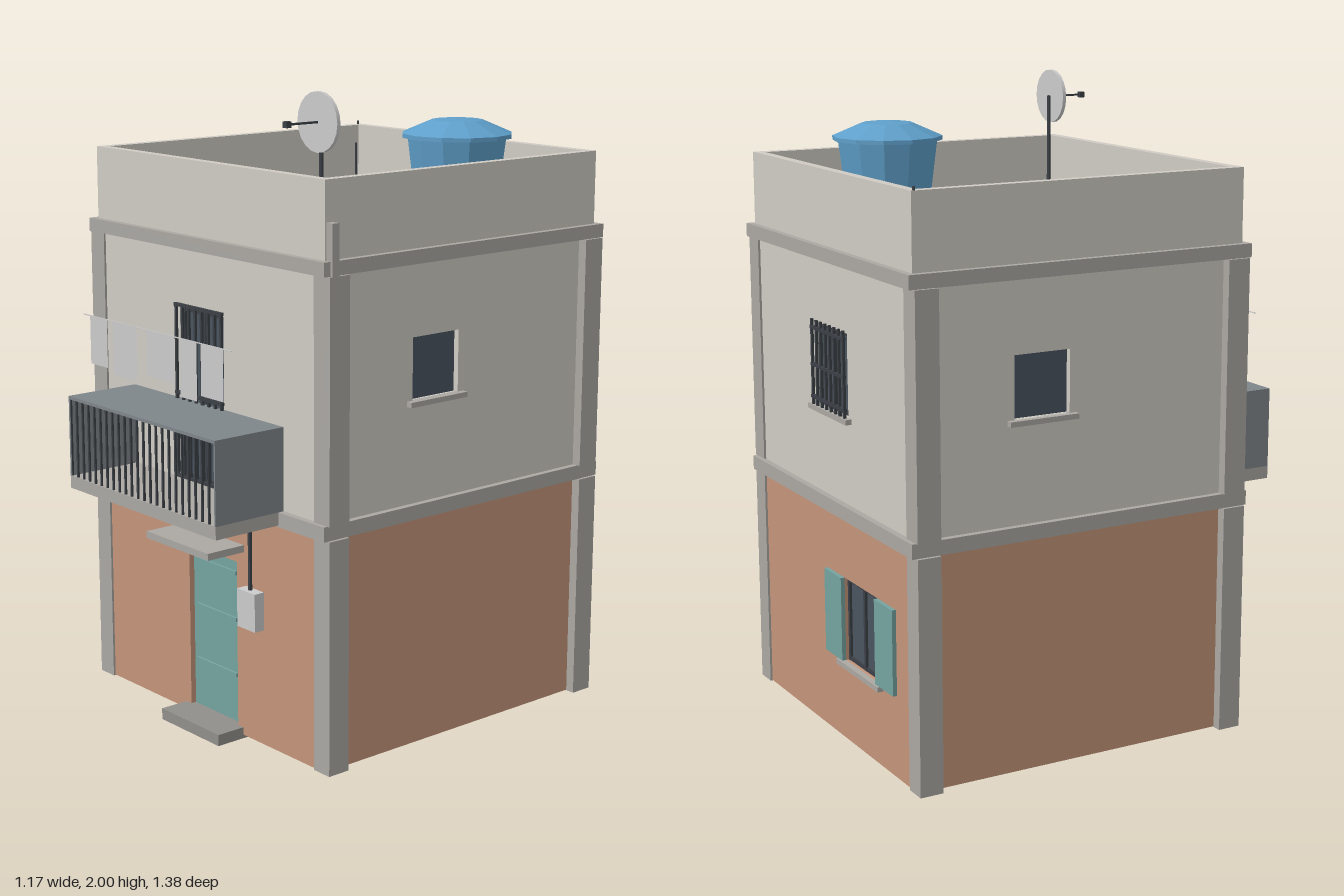
import * as THREE from 'three';

const mat = (color, flat = false) => {
  const m = new THREE.MeshStandardMaterial({ color, side: THREE.DoubleSide });
  m.flatShading = flat;
  return m;
};
const plaster = mat(0xd0ccc4), brick = mat(0xc4957a), concrete = mat(0xaba8a3), slabGrey = mat(0x918f8b);
const teal = mat(0x74a3a0), glass = mat(0x4a535f), iron = mat(0x3c4147), panel = mat(0x7f868a);
const grey = mat(0xcccccc), blue = mat(0x5f9fca, true);

function add(parent, name, geo, material, x = 0, y = 0, z = 0) {
  const m = new THREE.Mesh(geo, material);
  m.name = name;
  m.position.set(x, y, z);
  parent.add(m);
  return m;
}

// Box given by its extents along each axis
function box(parent, name, material, [x0, x1], [y0, y1], [z0, z1]) {
  return add(parent, name, new THREE.BoxGeometry(x1 - x0, y1 - y0, z1 - z0), material,
    (x0 + x1) / 2, (y0 + y1) / 2, (z0 + z1) / 2);
}

function rect(Type, [x0, x1], [y0, y1]) {
  const s = new Type();
  s.moveTo(x0, y0);
  s.lineTo(x1, y0);
  s.lineTo(x1, y1);
  s.lineTo(x0, y1);
  s.closePath();
  return s;
}

const H = 0.555, T = 0.03, ZC = -0.1175; // half width, wall thickness, centre of the body in z

// Upright wall with openings, outer face at local z = H
function wall(parent, name, material, halfWidth, ys, openings) {
  const s = rect(THREE.Shape, [-halfWidth, halfWidth], ys);
  openings.forEach(([xs, hs]) => s.holes.push(rect(THREE.Path, xs, hs)));
  add(parent, name, new THREE.ExtrudeGeometry(s, { depth: T, bevelEnabled: false }), material, 0, 0, H - T);
}

// Square ring around the body
function ring(parent, name, material, outer, inner, [y0, y1]) {
  const s = rect(THREE.Shape, [-outer, outer], [-outer, outer]);
  s.holes.push(rect(THREE.Path, [-inner, inner], [-inner, inner]));
  const g = new THREE.ExtrudeGeometry(s, { depth: y1 - y0, bevelEnabled: false }).rotateX(-Math.PI / 2);
  add(parent, name, g, material, 0, y0, 0);
}

// Iron grille in front of an opening
function grille(parent, [x0, x1], [y0, y1], count, rows) {
  const g = new THREE.Group();
  g.name = 'windowGrille';
  for (let i = 0; i < count; i++) {
    const x = x0 + 0.006 + (x1 - x0 - 0.012) * i / (count - 1);
    box(g, 'grilleBar', iron, [x - 0.004, x + 0.004], [y0, y1], [H + 0.008, H + 0.016]);
  }
  rows.forEach(y => box(g, 'grilleRail', iron, [x0, x1], [y - 0.005, y + 0.005], [H + 0.007, H + 0.017]));
  parent.add(g);
}

// Recessed pane with a central mullion where wanted
function pane(parent, [x0, x1], [y0, y1], mullion) {
  box(parent, 'windowPane', glass, [x0, x1], [y0, y1], [H - T, H - 0.018]);
  if (!mullion) return;
  const c = (x0 + x1) / 2;
  [x0 + 0.006, c, x1 - 0.006].forEach(x =>
    box(parent, 'windowFrame', iron, [x - 0.006, x + 0.006], [y0, y1], [H - T, H - 0.01]));
  [y0 + 0.006, y1 - 0.006].forEach(y =>
    box(parent, 'windowFrame', iron, [x0, x1], [y - 0.006, y + 0.006], [H - T, H - 0.011]));
}

function buildBody() {
  const body = new THREE.Group();
  body.name = 'houseBody';
  body.position.z = ZC;

  const door = [[-0.095, 0.145], [0.03, 0.565]], balconyDoor = [[-0.125, 0.09], [0.775, 1.315]];
  const backLow = [[0.075, 0.305], [0.27, 0.535]], backHigh = [[-0.1, 0.125], [1.045, 1.3]];
  const rightWin = [[-0.215, -0.03], [1.09, 1.28]], leftWin = [[-0.2325, -0.0475], [1.09, 1.28]];
  const sides = [
    ['front', 0, [door], [balconyDoor]],
    ['left', Math.PI / 2, [], [rightWin]],
    ['back', Math.PI, [backLow], [backHigh]],
    ['right', -Math.PI / 2, [], [leftWin]],
  ];
  const faces = {};
  sides.forEach(([name, angle, low, high], i) => {
    const f = faces[name] = new THREE.Group();
    f.name = name + 'Side';
    f.rotation.y = angle;
    const hw = i % 2 ? H - T : H;
    wall(f, 'lowerWall', brick, hw, [0.012, 0.735], low);
    wall(f, 'upperWall', plaster, hw, [0.735, 1.52], high);
    high.forEach(([xs, ys]) => pane(f, xs, ys, name === 'front' || name === 'back'));
    if (name !== 'front') high.forEach(([[a, b], [y]]) =>
      box(f, 'windowSill', concrete, [a - 0.022, b + 0.022], [y - 0.016, y], [H - 0.01, H + 0.02]));
    body.add(f);
  });

  // Front door with rails, balcony door grille
  const F = faces.front, B = faces.back;
  box(F, 'frontDoor', teal, door[0], door[1], [H - T - 0.004, H - 0.018]);
  [0.19, 0.37, 0.52].forEach(y => box(F, 'doorRail', teal, [-0.075, 0.125], [y - 0.006, y + 0.006], [H - 0.018, H - 0.01]));
  grille(F, [-0.135, 0.1], [0.78, 1.33], 8, [0.785, 1.05, 1.325]);

  // Back windows: grille above, open shutters below
  grille(B, [-0.105, 0.13], [1.04, 1.31], 8, [1.07, 1.17, 1.285]);
  pane(B, ...backLow, true);
  box(B, 'windowSill', concrete, [0.045, 0.335], [0.254, 0.27], [H - 0.01, H + 0.02]);
  [[-0.045, 0.075], [0.305, 0.425]].forEach(xs => box(B, 'shutter', teal, xs, [0.27, 0.535], [H, H + 0.013]));

  // Corner pillars, floor bands, slabs and parapet
  for (const sx of [-1, 1]) for (const sz of [-1, 1]) for (const [y0, y1] of [[0.01, 0.73], [0.775, 1.5]])
    add(body, 'cornerPillar', new THREE.BoxGeometry(0.07, y1 - y0, 0.075), concrete, sx * 0.55, (y0 + y1) / 2, sz * 0.5245);
  ring(body, 'lowerBand', concrete, 0.575, 0.52, [0.73, 0.775]);
  ring(body, 'upperBand', concrete, 0.575, 0.52, [1.5, 1.542]);
  ring(body, 'parapet', plaster, 0.554, 0.524, [1.542, 1.77]);
  box(body, 'middleFloor', concrete, [-0.525, 0.525], [0.735, 0.77], [-0.525, 0.525]);
  box(body, 'roofSlab', concrete, [-0.53, 0.53], [1.5, 1.53], [-0.53, 0.53]);
  for (const sx of [-1, 1]) for (const sz of [-1, 1])
    add(body, 'reinforcingBar', new THREE.CylinderGeometry(0.004, 0.004, 0.18, 6), iron, sx * 0.517, 1.62, sz * 0.507);
  add(body, 'reinforcingBar', new THREE.CylinderGeometry(0.004, 0.004, 0.03, 6), iron, -0.548, 1.766, -0.543);
  return body;
}

function buildBalcony() {
  const g = new THREE.Group();
  g.name = 'balcony';
  box(g, 'balconySlab', concrete, [-0.37, 0.37], [0.735, 0.775], [0.43, 0.69]);
  box(g, 'balconyCover', panel, [-0.37, 0.37], [1.02, 1.03], [0.437, 0.69]);
  for (const s of [-1, 1]) box(g, 'balconySide', panel, [s * 0.367 - 0.003, s * 0.367 + 0.003], [0.775, 1.02], [0.437, 0.69]);
  for (let i = 0; i < 24; i++) {
    const x = -0.366 + 0.732 * i / 23;
    box(g, 'railingBar', iron, [x - 0.003, x + 0.003], [0.775, 1.02], [0.682, 0.688]);
  }
  // Washing line with laundry
  box(g, 'washingLine', grey, [-0.37, 0.37], [1.279, 1.282], [0.624, 0.627]);
  [[-0.335, -0.245, 1.13], [-0.215, -0.09, 1.115], [-0.04, 0.095, 1.14], [0.125, 0.205, 1.105], [0.225, 0.33, 1.125]]
    .forEach(([a, b, y]) => add(g, 'laundry', new THREE.PlaneGeometry(b - a, 1.28 - y), grey, (a + b) / 2, (y + 1.28) / 2, 0.626));
  return g;
}

function buildRoofItems() {
  const g = new THREE.Group();
  g.name = 'roofItems';
  // Water tank on its plinth
  box(g, 'tankPlinth', slabGrey, [0.13, 0.45], [1.53, 1.57], [-0.485, -0.165]);
  const profile = [[0, 1.57], [0.125, 1.57], [0.156, 1.815], [0.173, 1.815], [0.173, 1.828], [0.08, 1.868], [0, 1.875]]
    .map(([r, y]) => new THREE.Vector2(r, y));
  add(g, 'waterTank', new THREE.LatheGeometry(profile, 12), blue, 0.29, 0, -0.327);
  // Dish on a mast, with its feed arm
  add(g, 'dishMast', new THREE.CylinderGeometry(0.006, 0.006, 0.385, 8), iron, 0.42, 1.7225, 0.336);
  add(g, 'dish', new THREE.CylinderGeometry(0.087, 0.087, 0.012, 20).rotateX(Math.PI / 2), grey, 0.42, 1.913, 0.345);
  box(g, 'dishArm', iron, [0.417, 0.423], [1.91, 1.916], [0.345, 0.46]);
  box(g, 'dishReceiver', iron, [0.411, 0.429], [1.904, 1.922], [0.452, 0.47]);
  box(g, 'ventPipe', concrete, [0.558, 0.585], [1.5, 1.65], [0.41, 0.435]);
  return g;
}

export function createModel() {
  const house = new THREE.Group();
  house.name = 'house';
  house.add(buildBody(), buildBalcony(), buildRoofItems());
  // Entrance step, canopy and meter box
  box(house, 'doorStep', slabGrey, [-0.12, 0.17], [0, 0.036], [0.42, 0.535]);
  box(house, 'doorCanopy', concrete, [-0.13, 0.18], [0.604, 0.626], [0.43, 0.575]);
  box(house, 'meterBox', grey, [0.19, 0.275], [0.38, 0.5], [0.434, 0.473]);
  box(house, 'meterConduit', iron, [0.226, 0.235], [0.5, 0.735], [0.45, 0.459]);
  return house;
}
